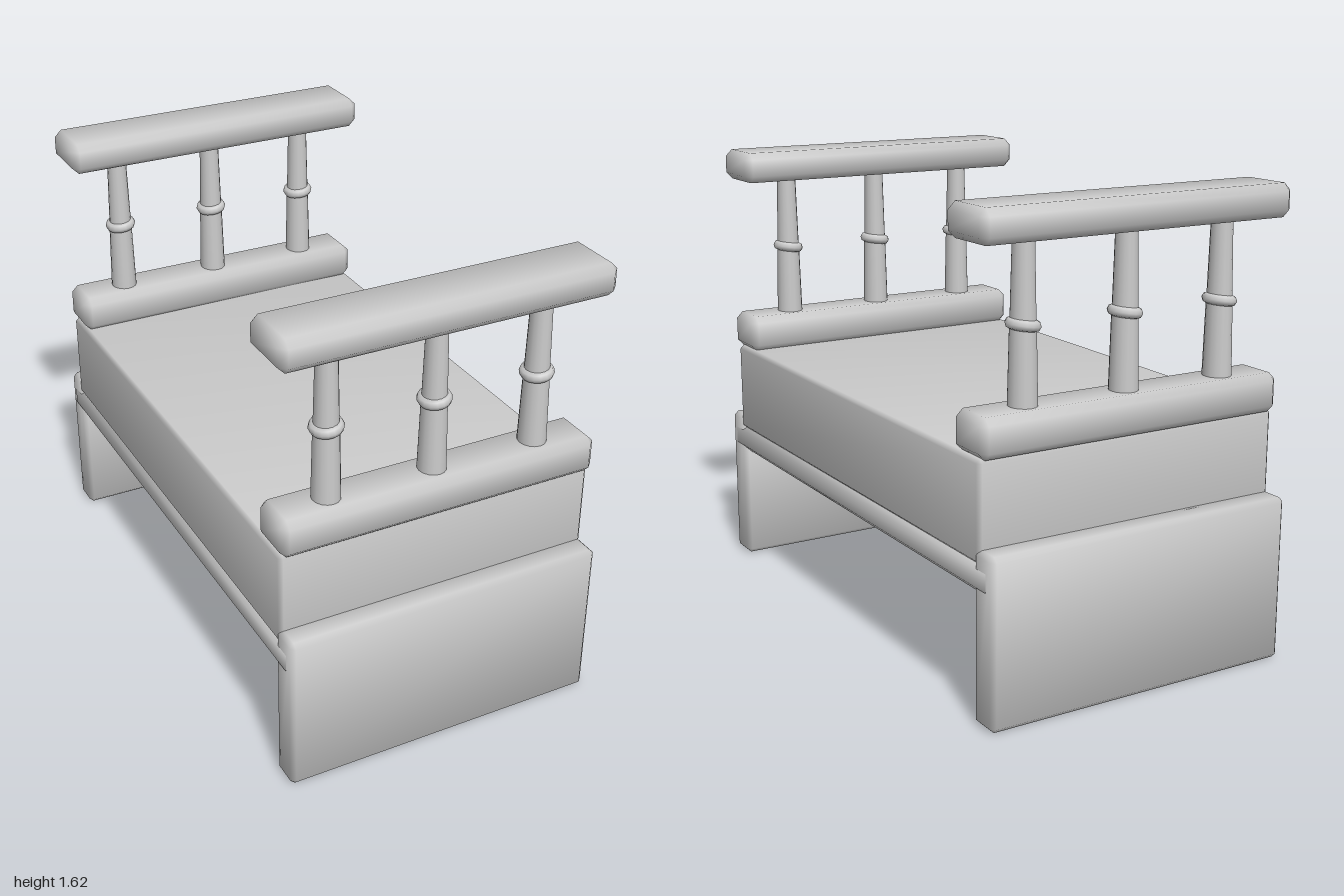
import * as THREE from 'three';
import { ConvexGeometry } from 'three/addons/geometries/ConvexGeometry.js';

const grey = new THREE.MeshStandardMaterial({ color: 0xcccccc });

// Chamfered box; normals lean toward the chamfers by "lean" for soft shading.
function chamferBox(w, h, d, bevel, lean) {
  const half = [w / 2, h / 2, d / 2];
  const points = [];
  for (const sx of [-1, 1]) for (const sy of [-1, 1]) for (const sz of [-1, 1]) {
    const signs = [sx, sy, sz];
    for (let axis = 0; axis < 3; axis++) {
      const p = signs.map((s, i) => s * (half[i] - (i === axis ? 0 : bevel)));
      points.push(new THREE.Vector3(...p));
    }
  }
  const geometry = new ConvexGeometry(points);
  const pos = geometry.attributes.position;
  const normal = geometry.attributes.normal;
  const n = new THREE.Vector3();
  for (let i = 0; i < pos.count; i++) {
    const p = [pos.getX(i), pos.getY(i), pos.getZ(i)];
    n.set(...p.map((v, k) => Math.sign(v) * (Math.abs(v) > half[k] - bevel / 2 ? 1 : lean))).normalize();
    normal.setXYZ(i, n.x, n.y, n.z);
  }
  return geometry;
}

// Adds a chamfered box given its width, vertical extent and z extent.
function addBox(parent, name, w, [y0, y1], [z0, z1], bevel, lean = 0.4) {
  const mesh = new THREE.Mesh(chamferBox(w, y1 - y0, z1 - z0, bevel, lean), grey);
  mesh.name = name;
  mesh.position.set(0, (y0 + y1) / 2, (z0 + z1) / 2);
  parent.add(mesh);
}

// Tapered turned post with a slightly tilted collar.
function makeSpindle() {
  const spindle = new THREE.Group();
  spindle.name = 'spindle';
  const profile = [[0.047, 0.97], [0.047, 1.0], [0.042, 1.22], [0.04, 1.27], [0.034, 1.53]]
    .map(([r, y]) => new THREE.Vector2(r, y));
  const post = new THREE.Mesh(new THREE.LatheGeometry(profile, 16), grey);
  post.name = 'spindlePost';
  const collar = new THREE.Mesh(new THREE.TorusGeometry(0.037, 0.019, 8, 16).rotateX(Math.PI / 2), grey);
  collar.name = 'spindleCollar';
  collar.position.y = 1.245;
  collar.rotation.z = 0.15;
  spindle.add(post, collar);
  spindle.scale.z = 1.1;
  return spindle;
}

export function createModel() {
  const bed = new THREE.Group();
  bed.name = 'bed';

  // Bed base and mattress
  addBox(bed, 'bedBase', 1.152, [0.43, 0.54], [-0.985, 0.985], 0.026);
  addBox(bed, 'mattress', 1.144, [0.525, 0.862], [-0.915, 0.915], 0.014, 0.15);

  // Matching panel and railing at each end
  for (const [end, side, z] of [['front', 1, 0.855], ['back', -1, -0.851]]) {
    const group = new THREE.Group();
    group.name = end + 'End';
    const panelZ = side > 0 ? [0.888, 1] : [-1, -0.888];
    addBox(group, end + 'LegPanel', 1.148, [0, 0.575], panelZ, 0.016);
    addBox(group, end + 'LowerRail', 1.146, [0.858, 0.992], [z - 0.09, z + 0.09], 0.024);
    addBox(group, end + 'TopRail', 1.17, [1.51, 1.622], [z - 0.113, z + 0.113], 0.025);
    for (const x of [-0.381, -0.003, 0.376]) {
      const spindle = makeSpindle();
      spindle.position.set(x, 0, z);
      group.add(spindle);
    }
    bed.add(group);
  }
  return bed;
}
